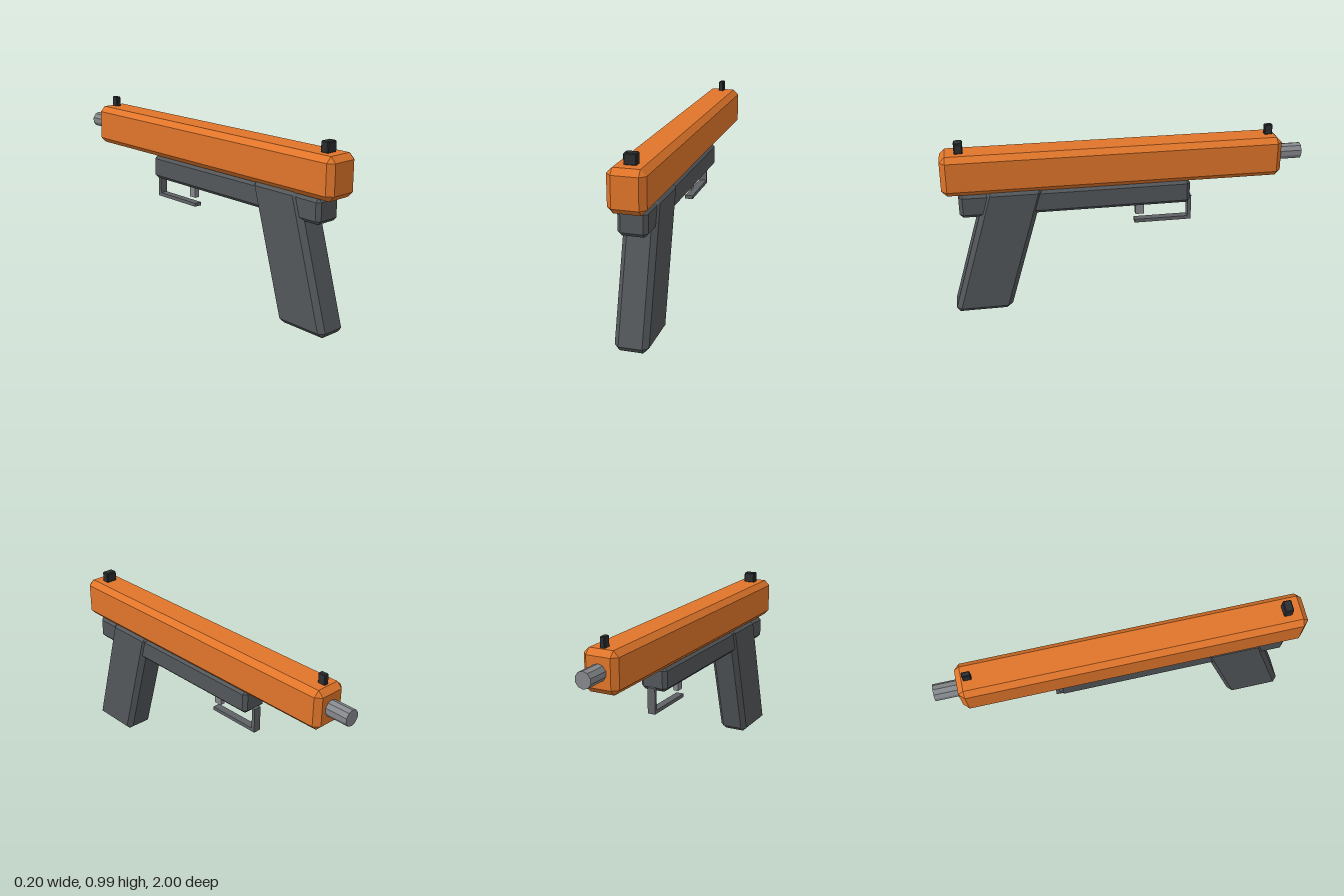
import * as THREE from 'three';
import { ConvexGeometry } from 'three/addons/geometries/ConvexGeometry.js';

const material = (color) => new THREE.MeshStandardMaterial({ color, flatShading: true });

// Box with bevelled edges between two corners; lean shifts z for each unit of height
function bevelBox(name, min, max, bevel, mat, lean = 0) {
  const half = min.map((v, i) => (max[i] - v) / 2);
  const mid = min.map((v, i) => (max[i] + v) / 2);
  const points = [];
  for (const sx of [-1, 1]) for (const sy of [-1, 1]) for (const sz of [-1, 1]) {
    const signs = [sx, sy, sz];
    for (let axis = 0; axis < 3; axis++) {
      const p = signs.map((s, i) => s * (half[i] - (i === axis ? 0 : bevel)));
      points.push(new THREE.Vector3(p[0], p[1], p[2] + lean * p[1]));
    }
  }
  const mesh = new THREE.Mesh(new ConvexGeometry(points), mat);
  mesh.position.set(...mid);
  mesh.name = name;
  return mesh;
}

function plainBox(name, min, max, mat) {
  const size = min.map((v, i) => max[i] - v);
  const mesh = new THREE.Mesh(new THREE.BoxGeometry(...size), mat);
  mesh.position.set(...min.map((v, i) => (v + max[i]) / 2));
  mesh.name = name;
  return mesh;
}

export function createModel() {
  const group = new THREE.Group();
  group.name = 'toyPistol';
  const orange = material(0xe0752a);
  const dark = material(0x53575a);
  const black = material(0x2b2d30);
  const metal = material(0x85888c);
  const guardGrey = material(0x606366);

  // Upper body and lower frame
  group.add(bevelBox('upperBody', [-0.098, 0.713, -0.87], [0.098, 0.935, 1], 0.03, orange));
  group.add(bevelBox('frame', [-0.077, 0.578, -0.357], [0.077, 0.715, 0.915], 0.02, dark));

  // Slanted grip
  group.add(bevelBox('grip', [-0.088, 0, 0.56], [0.088, 0.728, 0.875], 0.027, dark, -0.292));

  // Barrel
  const barrel = new THREE.Mesh(new THREE.CylinderGeometry(0.045, 0.045, 0.2, 10), metal);
  barrel.rotation.x = Math.PI / 2;
  barrel.position.set(0, 0.825, -0.9);
  barrel.name = 'barrel';
  group.add(barrel);

  // Sights
  group.add(bevelBox('rearSight', [-0.033, 0.932, 0.873], [0.033, 0.992, 0.92], 0.005, black));
  group.add(bevelBox('frontSight', [-0.014, 0.932, -0.83], [0.014, 0.992, -0.785], 0.004, black));

  // Trigger and its open guard
  group.add(plainBox('trigger', [-0.015, 0.505, -0.105], [0.015, 0.6, -0.058], metal));
  group.add(plainBox('guardPost', [-0.022, 0.455, -0.376], [0.022, 0.6, -0.356], guardGrey));
  group.add(plainBox('guardBar', [-0.022, 0.455, -0.356], [0.022, 0.475, -0.052], guardGrey));

  return group;
}
